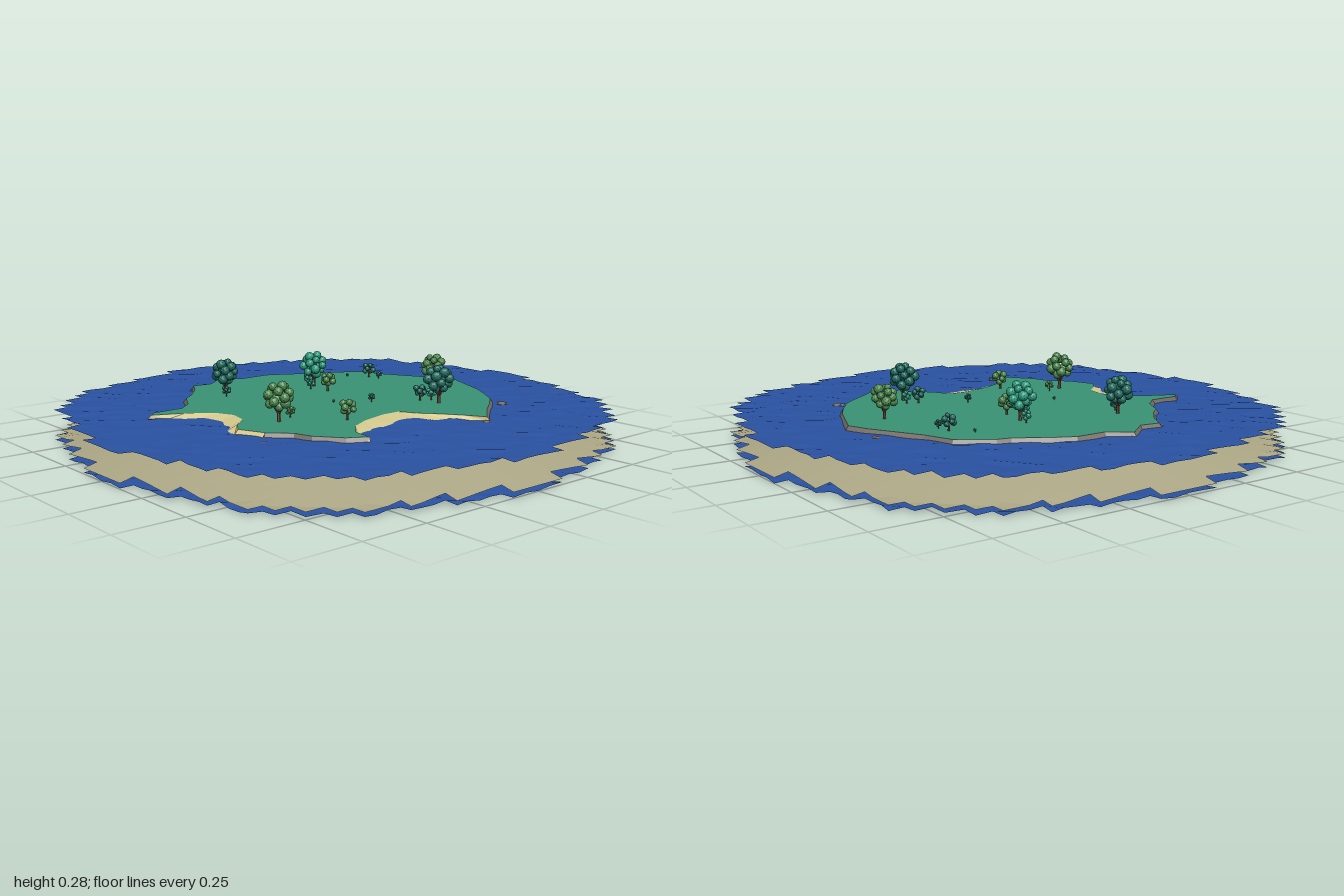
import * as THREE from 'three';
import { mergeGeometries } from 'three/addons/utils/BufferGeometryUtils.js';

let seed = 7;
const rand = () => (seed = (seed * 16807) % 2147483647) / 2147483647;
const jitter = (a) => (rand() * 2 - 1) * a;

const mat = (color) => new THREE.MeshStandardMaterial({ color, flatShading: true, side: THREE.DoubleSide });
const M = {
  water: mat(0x2a52a2), sand: mat(0xaba684), beach: mat(0xd4c88c), cliff: mat(0x77706a),
  grass: mat(0x3a9375), trunk: mat(0x6a4f3e),
  green: mat(0x4c8a50), teal: mat(0x2b9c7e), dark: mat(0x1f6c60),
};

// Shoreline of the plateau: x, z, beach width (0 = cliff)
const SHORE = [
  [-0.01, -0.67, 0], [0.09, -0.63, 0], [0.19, -0.59, 0], [0.26, -0.55, 0], [0.35, -0.49, 0],
  [0.41, -0.42, 0], [0.47, -0.34, 0], [0.56, -0.24, 0], [0.49, -0.2, 0.04], [0.42, -0.15, 0.06],
  [0.35, -0.09, 0.08], [0.29, -0.06, 0.1], [0.29, 0.02, 0.1], [0.32, 0.13, 0.08], [0.36, 0.21, 0.08],
  [0.43, 0.27, 0.07], [0.51, 0.28, 0], [0.47, 0.35, 0], [0.38, 0.42, 0], [0.31, 0.44, 0],
  [0.24, 0.51, 0], [0.14, 0.55, 0.02], [0.08, 0.51, 0.06], [0.03, 0.45, 0.07], [-0.05, 0.43, 0.07],
  [-0.12, 0.46, 0.08], [-0.19, 0.55, 0.06], [-0.24, 0.66, 0], [-0.27, 0.63, 0], [-0.27, 0.51, 0],
  [-0.32, 0.45, 0], [-0.41, 0.4, 0], [-0.45, 0.35, 0], [-0.53, 0.28, 0], [-0.6, 0.24, 0],
  [-0.59, 0.16, 0], [-0.66, 0.07, 0], [-0.6, -0.01, 0], [-0.6, -0.13, 0], [-0.56, -0.21, 0],
  [-0.49, -0.32, 0], [-0.48, -0.37, 0], [-0.4, -0.49, 0], [-0.29, -0.53, 0], [-0.18, -0.59, 0],
  [-0.09, -0.64, 0],
];

// Stepped disc: grid lines and the half-width of each row, outermost row last
const LINES = [0, 0.06, 0.12, 0.17, 0.22, 0.27, 0.32, 0.37, 0.42, 0.465, 0.515, 0.565, 0.61, 0.67, 0.74, 0.8, 0.855, 0.9, 0.95, 1];
const GRID = [...LINES.slice(1).reverse().map((v) => -v), ...LINES];
const STEPS = [[0.12, 1], [0.32, 0.95], [0.465, 0.9], [0.61, 0.855], [0.67, 0.8], [0.74, 0.74],
  [0.8, 0.67], [0.855, 0.61], [0.9, 0.465], [0.95, 0.32], [1, 0.12]];
const halfWidth = (z) => STEPS.find(([edge]) => Math.abs(z) < edge)[1];

function steppedSheet(name, material, height) {
  const n = GRID.length, pos = [], idx = [];
  for (const z of GRID) for (const x of GRID) pos.push(x, height(x, z, Math.hypot(x, z)), z);
  for (let j = 0; j < n - 1; j++) for (let i = 0; i < n - 1; i++) {
    const x = (GRID[i] + GRID[i + 1]) / 2, z = (GRID[j] + GRID[j + 1]) / 2;
    if (Math.abs(x) > halfWidth(z)) continue;
    const a = j * n + i;
    idx.push(a, a + n, a + 1, a + 1, a + n, a + n + 1);
  }
  return solid(name, material, pos, idx);
}

function solid(name, material, pos, idx) {
  const g = new THREE.BufferGeometry();
  g.setAttribute('position', new THREE.Float32BufferAttribute(pos, 3));
  g.setIndex(idx);
  g.computeVertexNormals();
  return part(name, g, material);
}

function part(name, geometry, material) {
  const m = new THREE.Mesh(geometry, material);
  m.name = name;
  return m;
}

// Piecewise-linear seabed slope, by radius
function seabedHeight(r) {
  const P = [[0.66, 0.108], [0.75, 0.09], [0.93, 0.04], [1, 0.02]];
  if (r <= P[0][0]) return P[0][1];
  for (let i = 1; i < P.length; i++) if (r <= P[i][0]) {
    return THREE.MathUtils.mapLinear(r, P[i - 1][0], P[i][0], P[i - 1][1], P[i][1]);
  }
  return 0.02;
}

const TOP = 0.131;

// Skirt between the plateau edge and the water: beaches or cliffs
function shoreSkirt(name, material, isBeach) {
  const pos = [], idx = [];
  SHORE.forEach(([x, z, w], i) => {
    const next = SHORE[(i + 1) % SHORE.length];
    if ((w > 0 || next[2] > 0) !== isBeach) return;
    const b = pos.length / 3;
    for (const [px, pz, pw] of [[x, z, w], next]) {
      const r = Math.hypot(px, pz), k = 1 + (pw || 0.018) / r;
      pos.push(px, TOP, pz, px * k, isBeach ? 0.114 : 0.104, pz * k);
    }
    idx.push(b, b + 2, b + 1, b + 1, b + 2, b + 3);
  });
  return solid(name, material, pos, idx);
}

// Cluster of faceted leaf balls filling an ellipsoid
function leafBalls(count, spread, flat, size, y) {
  const balls = [];
  for (let i = 0; i < count; i++) {
    const v = 1 - (2 * (i + 0.5)) / count, a = i * 2.4, h = Math.sqrt(1 - v * v);
    const g = new THREE.IcosahedronGeometry(size * (0.85 + rand() * 0.3), 1);
    g.translate(Math.cos(a) * h * spread + jitter(0.004), y + v * spread * flat, Math.sin(a) * h * spread + jitter(0.004));
    balls.push(g);
  }
  return mergeGeometries(balls);
}

function stick(from, to, r) {
  const a = new THREE.Vector3(...from), d = new THREE.Vector3(...to).sub(a);
  const g = new THREE.CylinderGeometry(r * 0.65, r, d.length(), 6).translate(0, d.length() / 2, 0);
  g.applyQuaternion(new THREE.Quaternion().setFromUnitVectors(new THREE.Vector3(0, 1, 0), d.normalize()));
  return g.translate(a.x, a.y, a.z);
}

function tree(x, z, leaf, scale = 1) {
  const g = new THREE.Group();
  g.name = 'tree';
  const wood = [stick([0, -0.005, 0], [0, 0.06, 0], 0.007)];
  for (let i = 0; i < 4; i++) {
    const a = i * 1.57 + 0.4;
    wood.push(stick([0, 0.025, 0], [Math.cos(a) * 0.032, 0.075, Math.sin(a) * 0.032], 0.004));
  }
  g.add(part('trunk', mergeGeometries(wood), M.trunk));
  g.add(part('foliage', leafBalls(17, 0.038, 1, 0.017, 0.088), leaf));
  g.position.set(x, TOP, z);
  g.rotation.y = rand() * 6;
  g.scale.setScalar(scale);
  return g;
}

function bush(x, z, leaf, scale = 1) {
  const g = new THREE.Group();
  g.name = 'bush';
  g.add(part('bushStem', stick([0, -0.005, 0], [0, 0.04, 0], 0.005), M.trunk));
  g.add(part('bushLeaves', leafBalls(8, 0.02, 0.9, 0.012, 0.042), leaf));
  g.position.set(x, TOP, z);
  g.scale.setScalar(scale);
  return g;
}

export function createModel() {
  seed = 7;
  const model = new THREE.Group();
  model.name = 'island';

  // Layers: deep floor, seabed slope, water surface
  model.add(steppedSheet('deepFloor', M.water, (x, z, r) => (r < 0.6 ? 0.016 : 0.005 + jitter(0.005))));
  model.add(steppedSheet('seabed', M.sand, (x, z, r) => seabedHeight(r)));
  model.add(steppedSheet('waterSurface', M.water, () => 0.117 + jitter(0.003)));

  // Plateau
  const shape = new THREE.Shape(SHORE.map(([x, z]) => new THREE.Vector2(x, -z)));
  const grass = new THREE.ShapeGeometry(shape).rotateX(-Math.PI / 2).translate(0, TOP, 0);
  model.add(part('grass', grass, M.grass));
  model.add(shoreSkirt('beach', M.beach, true), shoreSkirt('cliff', M.cliff, false));

  // Trees
  for (const [x, z, leaf, s] of [
    [0.02, -0.51, 'green', 0.92], [-0.28, -0.13, 'teal', 1.02], [0.28, -0.28, 'dark', 1.06],
    [-0.39, 0.23, 'dark', 1], [0.135, 0.37, 'green', 1.04],
  ]) model.add(tree(x, z, M[leaf], s));

  // Bushes and sprouts
  for (const [x, z, leaf, s] of [
    [-0.28, -0.43, 'dark', 0.9], [-0.23, -0.44, 'dark', 0.45], [-0.17, -0.11, 'green', 1.1], [0.27, 0.17, 'green', 1.1],
    [0.2, -0.26, 'dark', 0.9], [0.22, -0.3, 'teal', 0.7], [-0.33, -0.14, 'teal', 0.7], [-0.24, -0.08, 'teal', 0.6],
    [-0.34, 0.26, 'dark', 0.6], [0.1, -0.1, 'dark', 0.5], [-0.35, -0.37, 'dark', 0.2], [0.02, 0.02, 'dark', 0.2],
    [-0.05, 0.2, 'dark', 0.2], [0.11, 0.3, 'green', 0.6],
  ]) model.add(bush(x, z, M[leaf], s));

  // Shore rocks
  for (const [x, z, s] of [[-0.17, -0.65, 0.02], [0.4, -0.5, 0.028], [0.57, -0.23, 0.02], [-0.58, 0.26, 0.018],
    [0.29, 0.55, 0.012], [-0.37, -0.54, 0.016], [0.52, -0.33, 0.012]]) {
    const rock = part('shoreRock', new THREE.DodecahedronGeometry(s), M.cliff);
    rock.position.set(x, 0.113, z);
    rock.scale.y = 0.45;
    rock.rotation.y = rand() * 6;
    model.add(rock);
  }
  return model;
}
